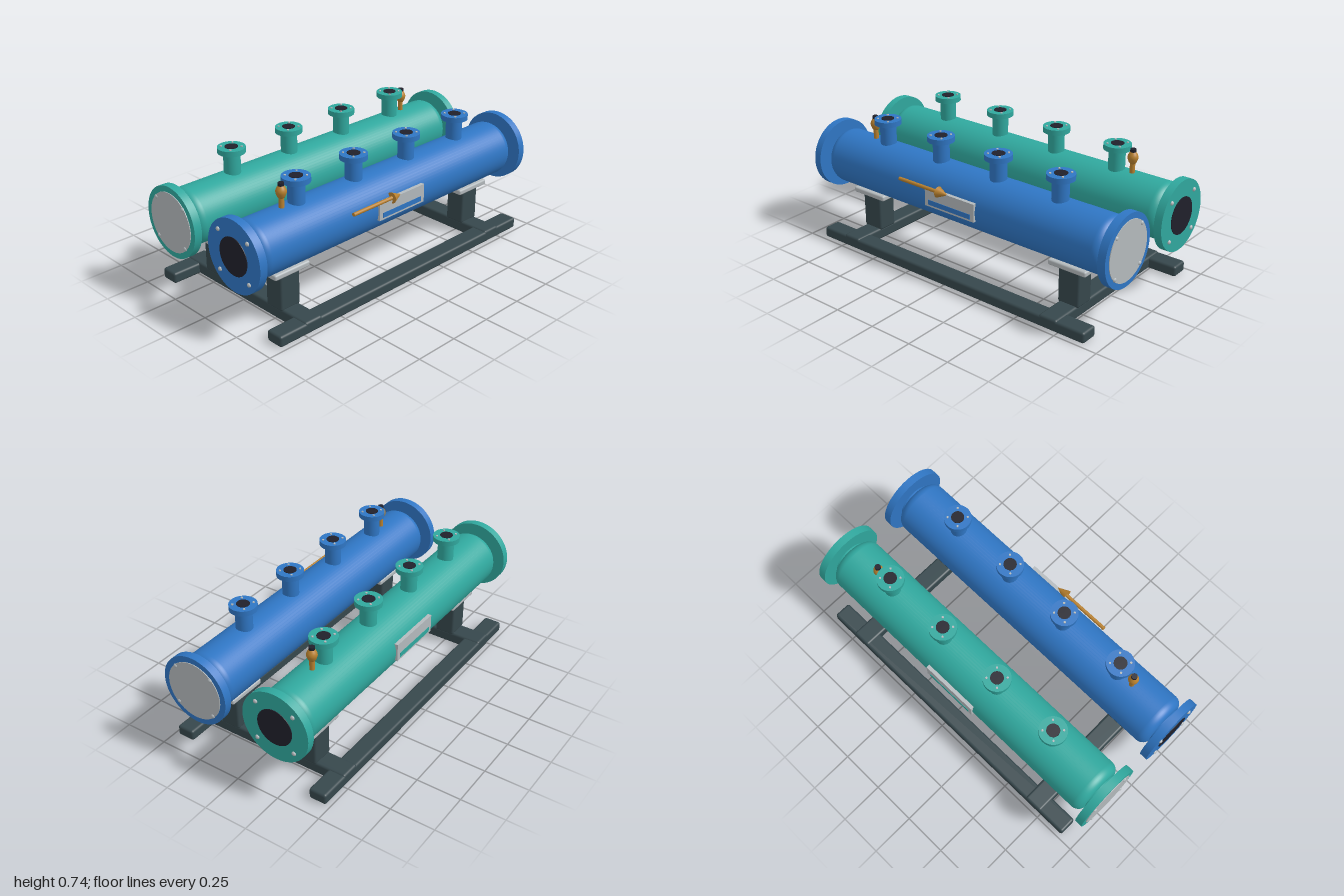
import * as THREE from 'three';
import { RoundedBoxGeometry } from 'three/addons/geometries/RoundedBoxGeometry.js';

const material = (name, color) => {
  const m = new THREE.MeshStandardMaterial({ color });
  m.name = name;
  return m;
};

export function createModel() {
  const blue = material('blue paint', 0x2f76c4);
  const teal = material('teal paint', 0x30a89e);
  const steel = material('dark steel frame', 0x36474c);
  const silver = material('silver metal', 0xb4babd);
  const bronze = material('bronze', 0xb9812f);
  const black = material('black opening', 0x20202b);

  const PIPE_Y = 0.445, PIPE_Z = 0.248, R = 0.155;
  const model = new THREE.Group();
  model.name = 'twinManifold';

  const add = (parent, name, geometry, mat, x = 0, y = 0, z = 0) => {
    const mesh = new THREE.Mesh(geometry, mat);
    mesh.name = name;
    mesh.position.set(x, y, z);
    parent.add(mesh);
    return mesh;
  };
  const cyl = (r, h, seg = 48) => new THREE.CylinderGeometry(r, r, h, seg);
  const cylX = (r, h, seg = 64) => cyl(r, h, seg).rotateZ(-Math.PI / 2);
  const box = (w, h, d, r) => new RoundedBoxGeometry(w, h, d, 3, r);

  // Base frame: long rails, cross beams, pedestals and saddle plates
  const frame = new THREE.Group();
  frame.name = 'baseFrame';
  model.add(frame);
  for (const s of [-1, 1]) {
    add(frame, 'rail', box(1.82, 0.062, 0.102, 0.014), steel, 0, 0.031, s * 0.426);
    add(frame, 'crossBeam', box(0.112, 0.068, 0.954, 0.014), steel, s * 0.69, 0.034, 0);
    for (const t of [-1, 1]) {
      add(frame, 'pedestal', box(0.128, 0.215, 0.115, 0.012), steel, s * 0.69, 0.168, t * PIPE_Z);
      add(frame, 'saddlePlate', box(0.23, 0.032, 0.16, 0.01), silver, s * 0.69, 0.279, t * PIPE_Z);
    }
  }

  // Bulb-shaped body of the air vent
  const ventProfile = new THREE.SplineCurve([
    [0.014, 0], [0.021, 0.009], [0.028, 0.03], [0.026, 0.046], [0.017, 0.062], [0.012, 0.068],
  ].map(p => new THREE.Vector2(...p))).getPoints(20);

  // Header pipe along x with its fittings, centred on the pipe axis
  function header(name, paint) {
    const g = new THREE.Group();
    g.name = name;

    // Shell with rounded shoulders at both ends
    const half = [];
    for (let i = 0; i <= 10; i++) {
      const a = (i / 10) * Math.PI / 2;
      half.push(new THREE.Vector2(R - 0.05 + 0.05 * Math.cos(a), 0.88 + 0.052 * Math.sin(a)));
    }
    half.push(new THREE.Vector2(0, 0.932));
    const lower = half.map(p => new THREE.Vector2(p.x, -p.y)).reverse();
    add(g, 'pipeShell', new THREE.LatheGeometry([...lower, ...half], 64).rotateZ(-Math.PI / 2), paint);

    // End flanges: blank cover on +x, open bore on -x
    for (const s of [-1, 1]) {
      add(g, 'endNeck', cylX(0.105, 0.04), paint, s * 0.935);
      add(g, 'endFlange', cylX(0.195, 0.044), paint, s * 0.968);
      if (s > 0) add(g, 'blankCover', cylX(0.163, 0.006), silver, 0.991);
      else add(g, 'boreOpening', cylX(0.102, 0.005), black, -0.991);
      for (const a of [-1, 1]) for (const b of [-1, 1]) {
        const bolt = add(g, 'endBolt', new THREE.SphereGeometry(0.012, 16, 10), silver, s * 0.991, a * 0.109, b * 0.109);
        bolt.scale.x = 0.75;
      }
    }

    // Row of flanged outlets on top
    for (const x of [-0.588, -0.196, 0.196, 0.588]) {
      add(g, 'outletNeck', cyl(0.045, 0.15), paint, x, 0.2, 0);
      add(g, 'outletFlange', cyl(0.074, 0.029), paint, x, 0.279, 0);
      add(g, 'outletOpening', cyl(0.035, 0.004), black, x, 0.294, 0);
      for (const a of [-1, 1]) for (const b of [-1, 1]) {
        add(g, 'outletBolt', cyl(0.006, 0.01, 12), silver, x + a * 0.038, 0.293, b * 0.038);
      }
    }

    // Air vent
    add(g, 'ventStem', cyl(0.014, 0.09, 24), bronze, -0.685, 0.175, 0);
    add(g, 'ventBody', new THREE.LatheGeometry(ventProfile, 32), bronze, -0.685, 0.206, 0);
    add(g, 'ventCap', cyl(0.016, 0.016, 24), black, -0.685, 0.279, 0);

    // Side plate with painted strip
    add(g, 'sidePlate', new THREE.BoxGeometry(0.335, 0.102, 0.024), silver, -0.002, 0.005, 0.153);
    add(g, 'plateStrip', new THREE.BoxGeometry(0.288, 0.028, 0.004), paint, -0.002, -0.021, 0.165);
    return g;
  }

  const front = header('blueHeader', blue);
  front.position.set(0, PIPE_Y, PIPE_Z);
  model.add(front);

  const back = header('tealHeader', teal);
  back.position.set(0, PIPE_Y, -PIPE_Z);
  back.rotation.y = Math.PI;
  model.add(back);

  // Flow arrow on the front header
  add(front, 'arrowShaft', cylX(0.01, 0.28, 20), bronze, -0.215, 0.055, 0.161);
  add(front, 'arrowHead', new THREE.ConeGeometry(0.03, 0.068, 32).rotateZ(-Math.PI / 2), bronze, -0.045, 0.055, 0.161);

  return model;
}
